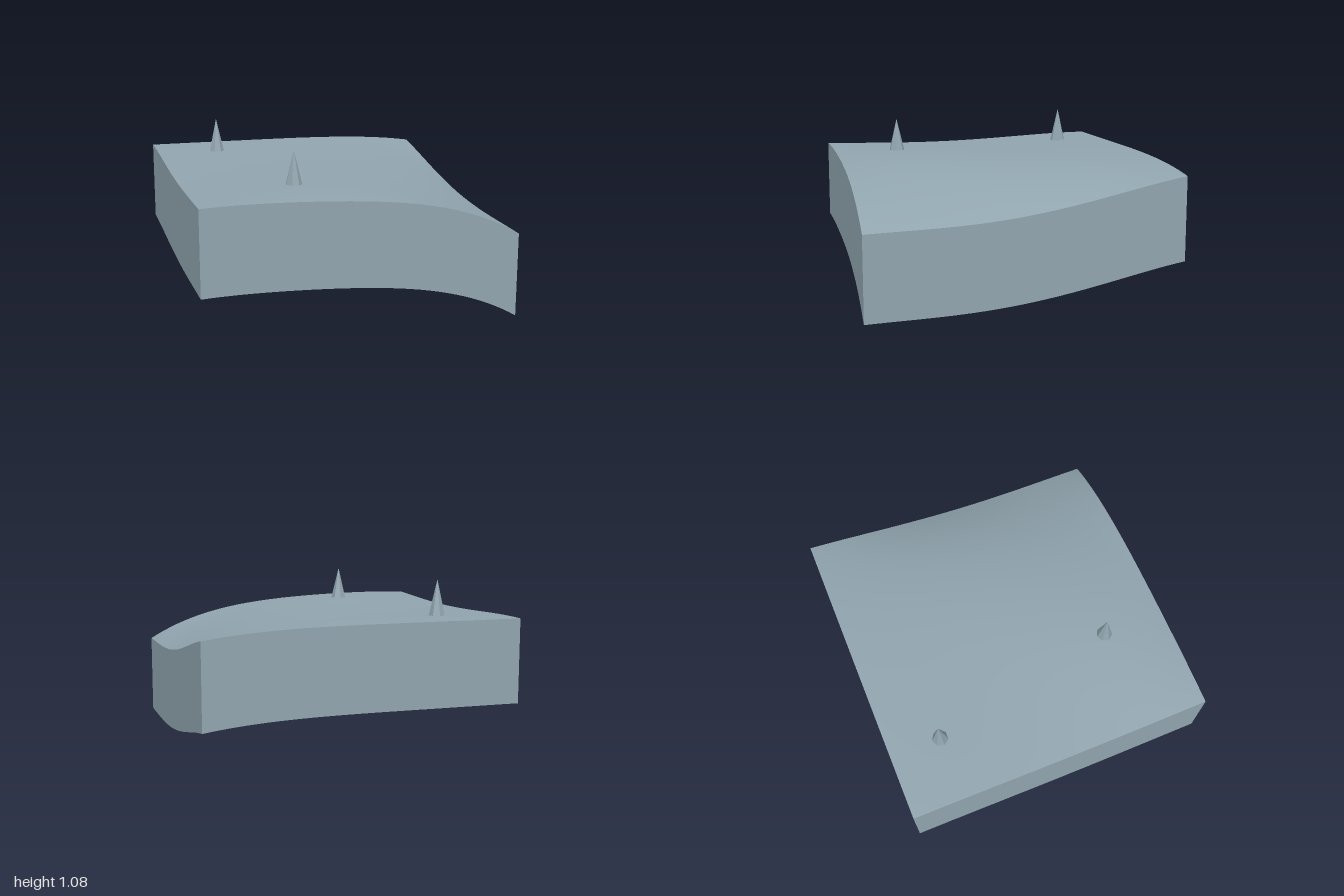
import * as THREE from 'three';

// Terrain heights at x, z = -1, -0.5, 0, 0.5, 1 (rows run back to front)
const HEIGHTS = [
  [0.855, 0.856, 0.856, 0.846, 0.80],
  [0.838, 0.843, 0.843, 0.815, 0.695],
  [0.815, 0.832, 0.833, 0.78, 0.60],
  [0.812, 0.84, 0.83, 0.745, 0.553],
  [0.823, 0.829, 0.805, 0.733, 0.535],
];
const SKIRT_DEPTH = 0.535;

// Smooth polynomial through five evenly spaced values
function blend(values, t) {
  const nodes = [-1, -0.5, 0, 0.5, 1];
  return values.reduce((sum, v, i) => sum + nodes.reduce(
    (w, n, j) => (j === i ? w : w * (t - n) / (nodes[i] - n)), v), 0);
}
const heightAt = (x, z) => blend(HEIGHTS.map((row) => blend(row, x)), z);

export function createModel() {
  const group = new THREE.Group();
  const blueGrey = new THREE.MeshStandardMaterial({ color: 0x90a4ae, side: THREE.DoubleSide });
  blueGrey.name = 'blueGrey';
  const blueGreyFaceted = blueGrey.clone();
  blueGreyFaceted.flatShading = true;

  const add = (name, geometry, material) => {
    const mesh = new THREE.Mesh(geometry, material);
    mesh.name = name;
    group.add(mesh);
    return mesh;
  };

  // Rolling top surface
  const top = new THREE.PlaneGeometry(2, 2, 40, 40).rotateX(-Math.PI / 2);
  const p = top.attributes.position;
  for (let i = 0; i < p.count; i++) p.setY(i, heightAt(p.getX(i), p.getZ(i)));
  top.computeVertexNormals();
  add('terrainSurface', top, blueGrey);

  // Four walls that follow the terrain edge at top and bottom
  ['frontWall', 'leftWall', 'backWall', 'rightWall'].forEach((name, k) => {
    const wall = new THREE.PlaneGeometry(2, 1, 40, 1).translate(0, 0, 1).rotateY(k * Math.PI / 2);
    const q = wall.attributes.position;
    for (let i = 0; i < q.count; i++) {
      const edge = heightAt(q.getX(i), q.getZ(i));
      q.setY(i, q.getY(i) > 0 ? edge : Math.max(0, edge - SKIRT_DEPTH));
    }
    add(name, wall, blueGrey);
  });

  // Two seven-sided spikes
  [['backSpike', -0.585, -0.665, 1.08], ['frontSpike', -0.335, 0.585, 1.06]].forEach(([name, x, z, tip]) => {
    const base = heightAt(x, z) - 0.003;
    const cone = new THREE.ConeGeometry(0.053, tip - base, 7, 1, false, Math.PI);
    add(name, cone, blueGreyFaceted).position.set(x, (tip + base) / 2, z);
  });

  return group;
}
